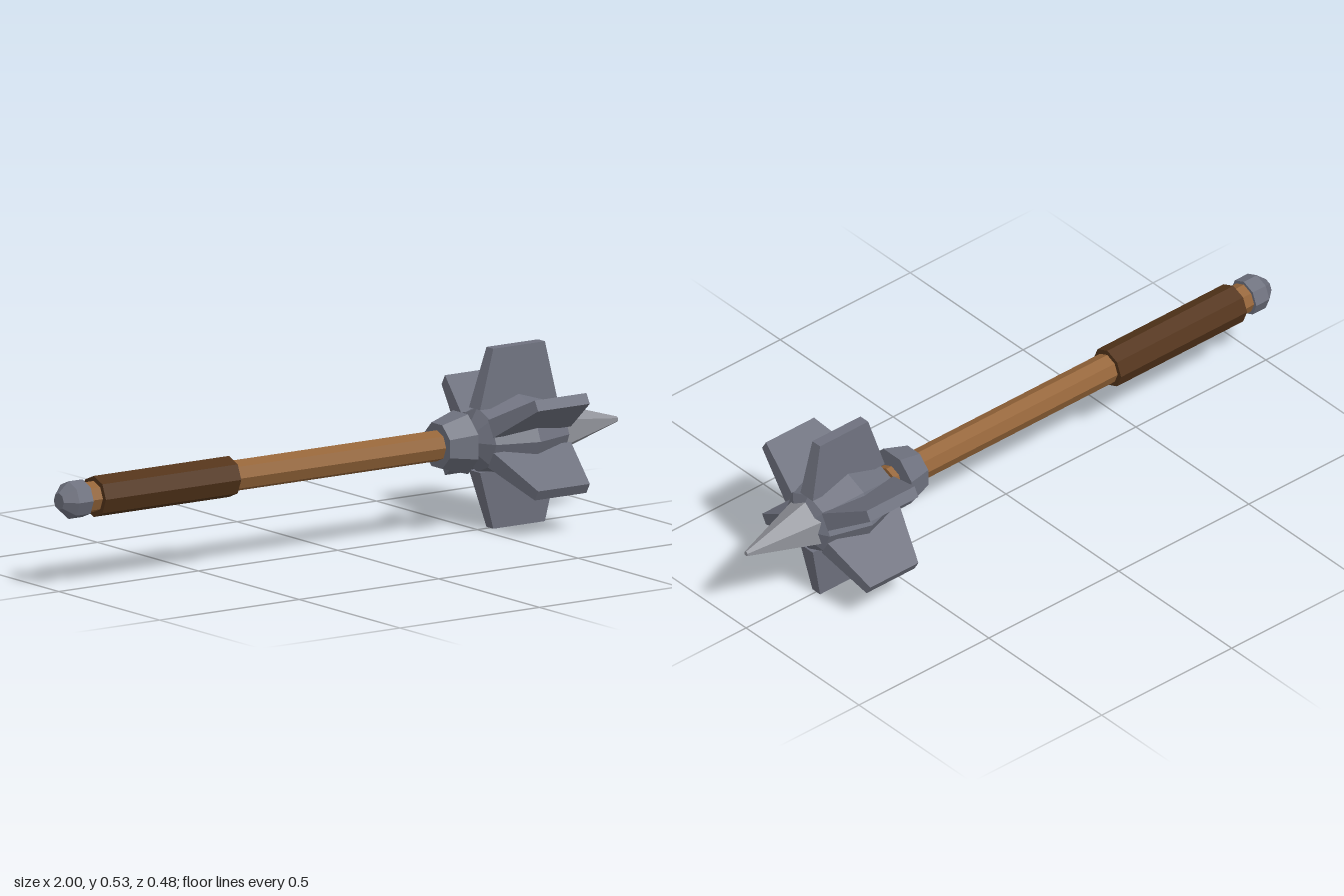
import * as THREE from 'three';

const AXIS_Y = 0.267; // height of the weapon's long axis

const flat = (name, color) => {
  const m = new THREE.MeshStandardMaterial({ color, flatShading: true });
  m.name = name;
  return m;
};

export function createModel() {
  const steel = flat('blue steel', 0x6e717e);
  const brightSteel = flat('bright steel', 0x92949b);
  const wood = flat('wood', 0x956539);
  const leather = flat('dark leather', 0x53341a);

  const model = new THREE.Group();
  model.name = 'flangedMace';

  const add = (name, geometry, material) => {
    const mesh = new THREE.Mesh(geometry, material);
    mesh.name = name;
    mesh.position.y = AXIS_Y;
    model.add(mesh);
    return mesh;
  };

  // Faceted rod along x from x0 (radius r0) to x1 (radius r1)
  const rod = (name, x0, x1, r0, r1, sides, material, turn = 0) => {
    const g = new THREE.CylinderGeometry(r1, r0, x1 - x0, sides, 1, false, turn);
    g.rotateZ(-Math.PI / 2).translate((x0 + x1) / 2, 0, 0);
    return add(name, g, material);
  };

  // Handle
  rod('shaft', -0.93, 0.46, 0.046, 0.046, 8, wood);
  rod('grip', -0.875, -0.39, 0.061, 0.061, 8, leather);
  rod('pommel', -0.965, -0.915, 0.056, 0.056, 8, steel);
  rod('pommelCap', -1, -0.965, 0.025, 0.056, 8, steel);
  rod('collar', 0.355, 0.44, 0.07, 0.096, 8, steel, Math.PI / 8);

  // Head core: coarse sphere stretched along the axis
  const core = new THREE.SphereGeometry(1, 8, 4);
  core.rotateZ(-Math.PI / 2).scale(0.185, 0.135, 0.135).translate(0.63, 0, 0);
  add('headCore', core, steel);

  // Tip spike
  rod('spike', 0.765, 1, 0.078, 0.008, 6, brightSteel, Math.PI / 2);

  // Six flanges, tapering outward in both length and thickness
  const flange = new THREE.BoxGeometry(1, 1, 1);
  const p = flange.attributes.position;
  for (let i = 0; i < p.count; i++) {
    const outer = p.getY(i) > 0;
    const front = p.getX(i) > 0;
    const x = outer ? (front ? 0.73 : 0.545) : (front ? 0.767 : 0.49);
    p.setXYZ(i, x, outer ? 0.267 : 0.093, p.getZ(i) * (outer ? 0.034 : 0.055));
  }
  flange.computeVertexNormals();
  for (let i = 0; i < 6; i++) {
    add('flange' + (i + 1), flange, steel).rotation.x = (i * Math.PI) / 3;
  }

  return model;
}
